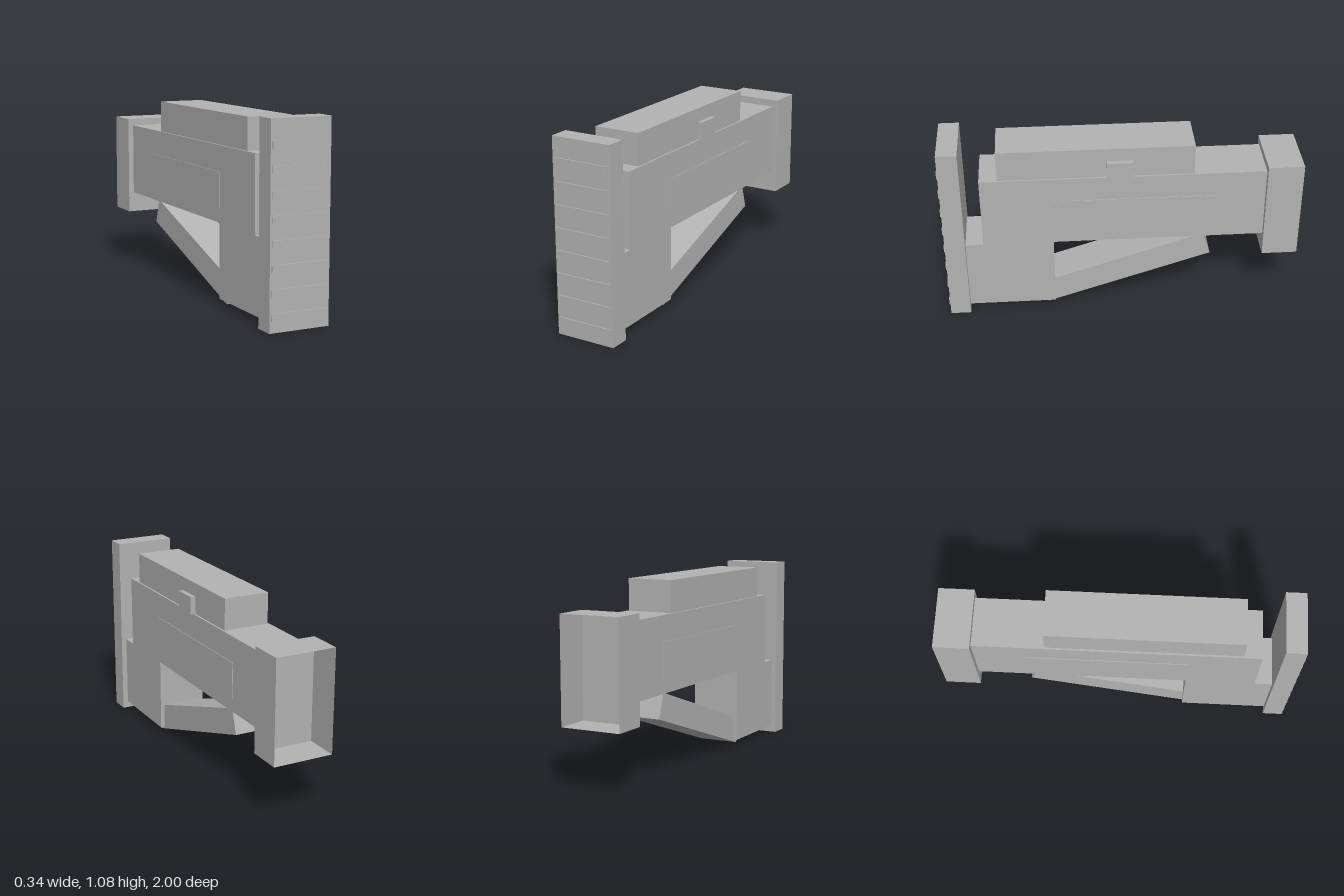
import * as THREE from 'three';

export function createModel() {
  const model = new THREE.Group();
  const grey = new THREE.MeshStandardMaterial({ color: 0xb2b2b2 });
  grey.name = 'grey';
  grey.side = THREE.DoubleSide;

  const add = (name, geometry) => {
    const mesh = new THREE.Mesh(geometry, grey);
    mesh.name = name;
    model.add(mesh);
    return mesh;
  };

  // Box given by its minimum and maximum on each axis
  const box = (name, [x0, x1], [y0, y1], [z0, z1]) => {
    const mesh = add(name, new THREE.BoxGeometry(x1 - x0, y1 - y0, z1 - z0));
    mesh.position.set((x0 + x1) / 2, (y0 + y1) / 2, (z0 + z1) / 2);
    return mesh;
  };

  // Stepped body: side profile in (z, y), extruded across x
  const profile = [
    [0.88, 0.04], [0.88, 0.46], [0.78, 0.46], [0.78, 0.88],
    [-0.8, 0.88], [-0.8, 0.46], [0.385, 0.46], [0.385, 0.04],
  ].map(([z, y]) => new THREE.Vector2(z, y));
  const body = new THREE.ExtrudeGeometry(new THREE.Shape(profile), { depth: 0.282, bevelEnabled: false });
  body.translate(0, 0, -0.141).rotateY(-Math.PI / 2);
  add('body', body);

  // End pad with raised grip ribs
  box('endPad', [-0.1725, 0.1725], [0, 1.075], [0.88, 0.994]);
  for (let i = 0; i < 8; i++) {
    const y = 0.081 + i * 0.1236;
    box('padRib', [-0.162, 0.162], [y - 0.019, y + 0.019], [0.99, 1]);
  }

  // Raised rest on top, with its side latch
  box('topRest', [-0.131, 0.131], [0.88, 1.056], [-0.4, 0.68]);
  box('latch', [0.131, 0.16], [0.88, 0.98], [-0.06, 0.085]);

  // Thin panels on both flanks
  for (const side of [-1, 1]) {
    const panel = box('sidePanel', [-0.003, 0.003], [0.537, 0.737], [-0.51, 0.385]);
    panel.position.x = side * 0.1415;
  }

  // Sloping brace beneath the body
  const brace = add('brace', new THREE.BoxGeometry(0.235, 0.146, 0.983));
  brace.position.set(0, 0.2375, -0.0175);
  brace.rotation.x = 0.315;

  // Thin-walled collar, open at the far end (last box face removed)
  const collar = box('collar', [-0.1725, 0.1725], [0.34, 0.92], [-1, -0.8]);
  const index = Array.from(collar.geometry.index.array);
  collar.geometry.setIndex(index.slice(0, 30));
  collar.geometry.clearGroups();

  return model;
}
